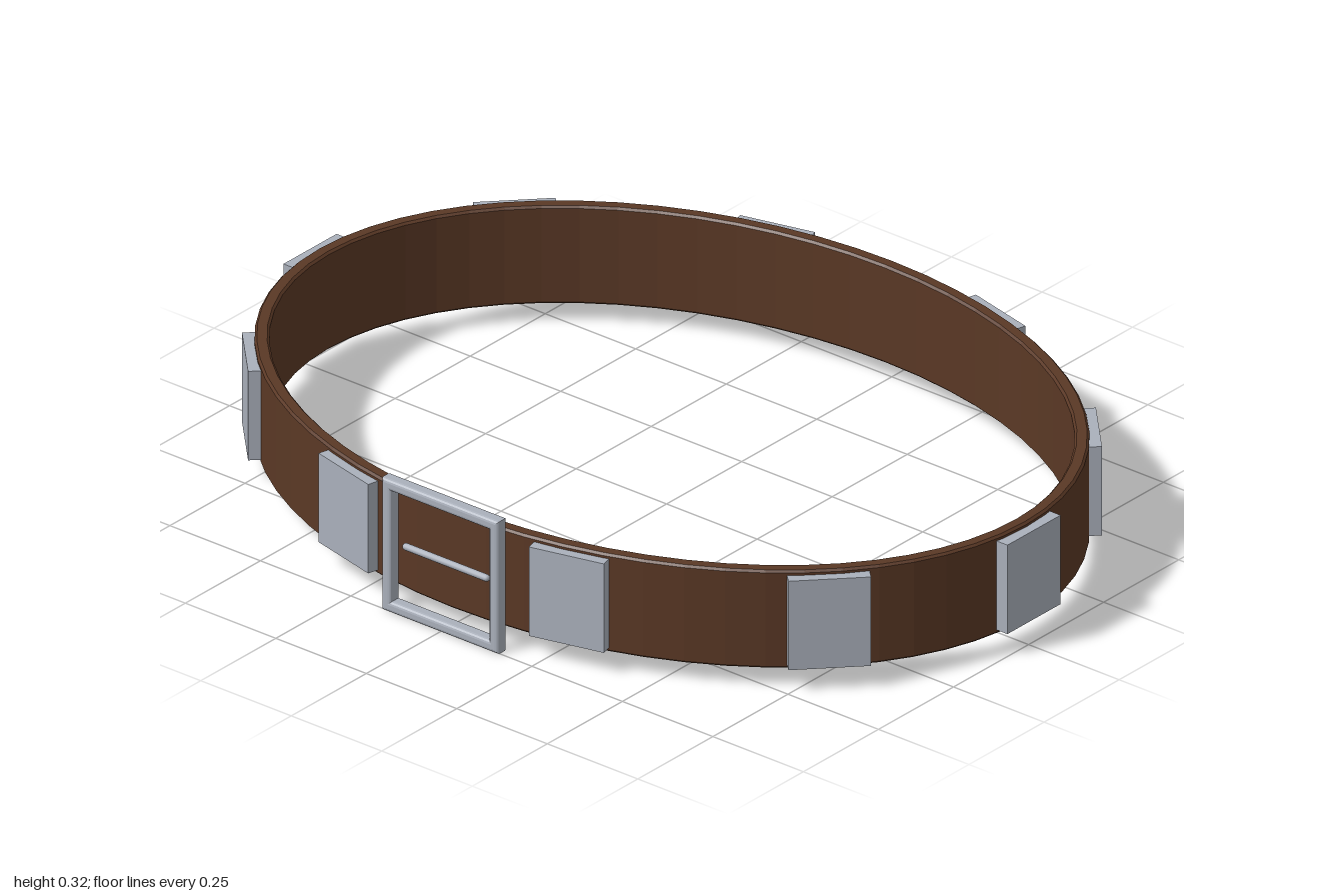
import * as THREE from 'three';

const RX = 0.978, RZ = 0.738, CZ = -0.018; // outer ellipse of the strap
const MID_Y = 0.161;

const leather = new THREE.MeshStandardMaterial({ color: 0x5a3825 });
const metal = new THREE.MeshStandardMaterial({ color: 0xaab0bb });

function addMesh(parent, name, geometry, material) {
  const mesh = new THREE.Mesh(geometry, material);
  mesh.name = name;
  parent.add(mesh);
  return mesh;
}

// Oval band with slightly bevelled edges
function strapGeometry() {
  const bevel = 0.005, wall = 0.032, height = 0.235;
  const shape = new THREE.Shape();
  shape.absellipse(0, 0, RX - bevel, RZ - bevel, 0, Math.PI * 2);
  const hole = new THREE.Path();
  hole.absellipse(0, 0, RX - wall + bevel, RZ - wall + bevel, 0, Math.PI * 2, true);
  shape.holes.push(hole);
  const depth = height - 2 * bevel;
  const geometry = new THREE.ExtrudeGeometry(shape, {
    depth, curveSegments: 32, bevelSize: bevel, bevelThickness: bevel, bevelSegments: 1,
  });
  return geometry.translate(0, 0, -depth / 2).rotateX(-Math.PI / 2);
}

function rectangle(path, w, h) {
  path.moveTo(-w, -h).lineTo(w, -h).lineTo(w, h).lineTo(-w, h).closePath();
  return path;
}

// Rectangular frame with rounded bars
function frameGeometry() {
  const bevel = 0.008, bar = 0.026, depth = 0.016;
  const shape = rectangle(new THREE.Shape(), 0.161 - bevel, 0.159 - bevel);
  shape.holes.push(rectangle(new THREE.Path(), 0.161 - bar + bevel, 0.159 - bar + bevel));
  const geometry = new THREE.ExtrudeGeometry(shape, {
    depth, bevelSize: bevel, bevelThickness: bevel, bevelSegments: 3,
  });
  return geometry.translate(0, 0, -depth / 2);
}

export function createModel() {
  const belt = new THREE.Group();
  belt.name = 'belt';

  addMesh(belt, 'strap', strapGeometry(), leather).position.set(0, MID_Y, CZ);

  // Ten metal plates facing outward along the oval
  const plates = new THREE.Group();
  plates.name = 'plates';
  belt.add(plates);
  const plateGeometry = new THREE.BoxGeometry(0.177, 0.214, 0.03);
  for (let i = 0; i < 10; i++) {
    const a = THREE.MathUtils.degToRad(18 + 36 * i);
    const plate = addMesh(plates, 'plate', plateGeometry, metal);
    plate.position.set(Math.sin(a) * (RX + 0.007), MID_Y, CZ + Math.cos(a) * (RZ + 0.007));
    plate.rotation.y = Math.atan2(Math.sin(a) * RZ, Math.cos(a) * RX);
  }

  // Buckle: frame and prong
  const buckle = new THREE.Group();
  buckle.name = 'buckle';
  buckle.position.set(0, 0.159, 0.741);
  belt.add(buckle);
  addMesh(buckle, 'buckleFrame', frameGeometry(), metal);
  const prong = addMesh(buckle, 'prong', new THREE.CapsuleGeometry(0.008, 0.222, 4, 12), metal);
  prong.rotation.z = Math.PI / 2;
  prong.position.set(0.006, 0.005, 0);

  return belt;
}
